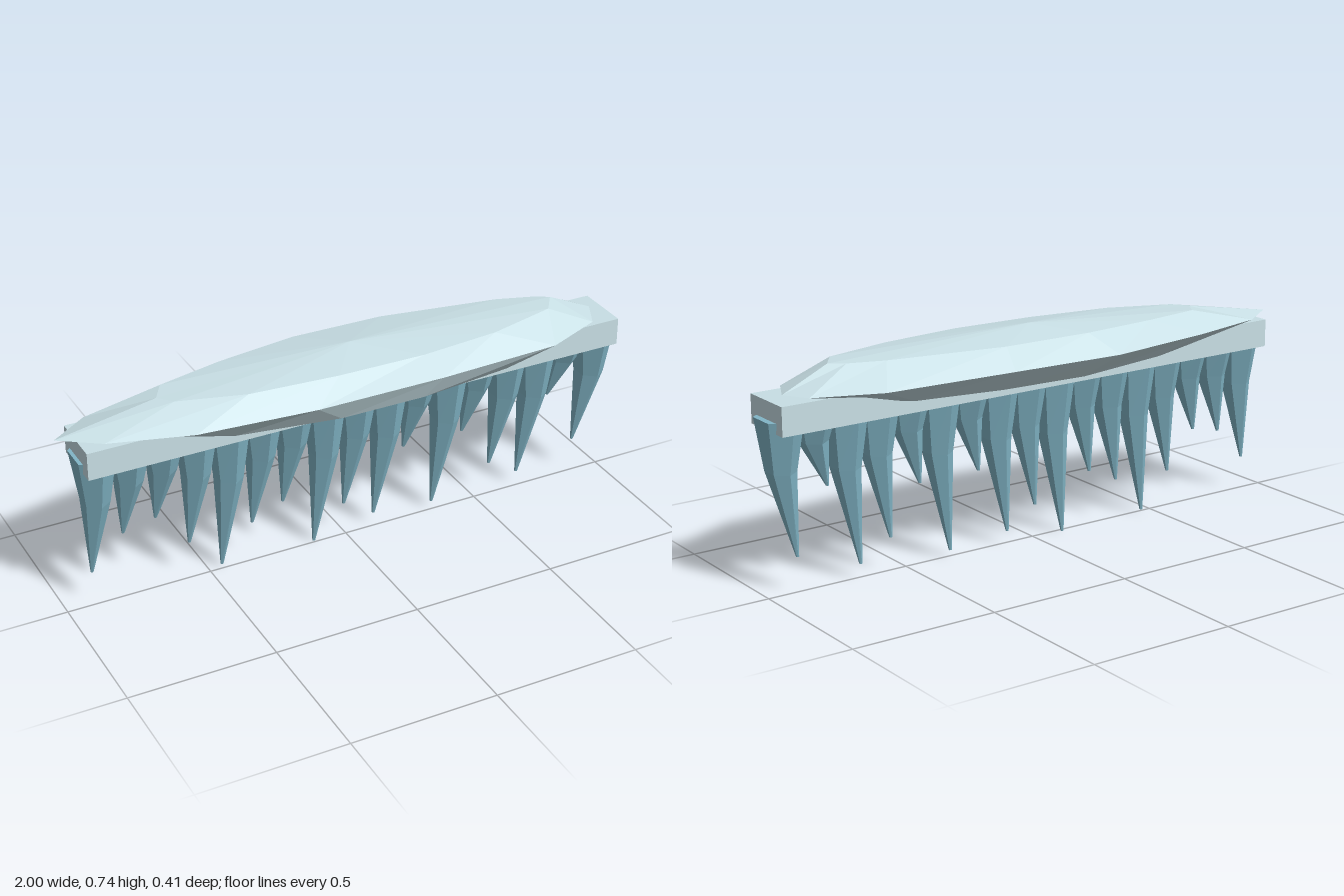
import * as THREE from 'three';

const snow = new THREE.MeshStandardMaterial({ color: 0xc8dfe5 });
snow.name = 'pale snow';
const ice = new THREE.MeshStandardMaterial({ color: 0x82b6c7 });
ice.name = 'blue ice';

// Faceted closed skin through rings of [x, y, z], listed bottom to top,
// each running counter-clockwise seen from above, with a point at either end.
function loft(rings, bottom, top) {
  const pos = [];
  const tri = (...corners) => corners.forEach((c) => pos.push(...c));
  const n = rings[0].length;
  for (let i = 0; i < n; i++) {
    const j = (i + 1) % n;
    tri(bottom, rings[0][j], rings[0][i]);
    for (let r = 0; r + 1 < rings.length; r++) {
      const a = rings[r], b = rings[r + 1];
      tri(a[i], a[j], b[j]);
      tri(a[i], b[j], b[i]);
    }
    tri(top, rings[rings.length - 1][i], rings[rings.length - 1][j]);
  }
  const geo = new THREE.BufferGeometry();
  geo.setAttribute('position', new THREE.Float32BufferAttribute(pos, 3));
  geo.computeVertexNormals();
  return geo;
}

// Six-sided ring with flat sides facing left and right
function hexRing(x, y, z, rx, rz) {
  return Array.from({ length: 6 }, (_, k) => {
    const t = ((k + 0.5) * Math.PI) / 3;
    return [x + rx * Math.cos(t), y, z - rz * Math.sin(t)];
  });
}

// Icicle hanging from y = 0.57, bending inward part way down
function icicleGeometry(topX, tipX, tipY) {
  const topY = 0.57;
  const midY = topY - (topY - tipY) * 0.38;
  const tip = hexRing(tipX, tipY, -0.011, 0.005, 0.005);
  const mid = hexRing(topX, midY, 0.009, 0.047, 0.06);
  const top = hexRing(topX, topY, 0.01, 0.0723, 0.095);
  return loft([tip, mid, top], [tipX, tipY, -0.011], [topX, topY, 0.01]);
}

function snowGeometry() {
  const lower = [
    [-0.75, 0.6, 0], [-0.66, 0.59, 0.06], [-0.45, 0.575, 0.13], [-0.1, 0.562, 0.165],
    [0.2, 0.565, 0.17], [0.52, 0.575, 0.145], [0.7, 0.6, 0.07],
    [0.76, 0.61, 0], [0.7, 0.6, -0.05], [0.52, 0.577, -0.1], [0.2, 0.566, -0.12],
    [-0.12, 0.562, -0.125], [-0.45, 0.575, -0.1], [-0.66, 0.59, -0.06],
  ];
  const rim = [
    [-1, 0], [-0.87, 0.09], [-0.6, 0.17], [-0.2, 0.205], [0.25, 0.205], [0.68, 0.185], [0.88, 0.1],
    [0.93, 0], [0.88, -0.08], [0.66, -0.165], [0.2, -0.19], [-0.2, -0.21], [-0.6, -0.15], [-0.87, -0.09],
  ].map(([x, z]) => [x, 0.64, z]);
  const upper = [
    [-0.66, 0.7, 0], [-0.62, 0.702, 0.05], [-0.4, 0.706, 0.12], [-0.1, 0.71, 0.15],
    [0.2, 0.712, 0.157], [0.48, 0.712, 0.13], [0.72, 0.714, 0.07],
    [0.77, 0.714, 0], [0.72, 0.713, -0.03], [0.6, 0.713, -0.07], [0.2, 0.712, -0.14],
    [-0.12, 0.712, -0.145], [-0.4, 0.708, -0.11], [-0.62, 0.703, -0.065],
  ];
  return loft([lower, rim, upper], [0, 0.555, 0.01], [0.01, 0.735, 0.005]);
}

export function createModel() {
  const model = new THREE.Group();
  model.name = 'icicleLedge';
  const add = (geometry, material, name, parent = model) => {
    const mesh = new THREE.Mesh(geometry, material);
    mesh.name = name;
    parent.add(mesh);
    return mesh;
  };

  // Ledge the icicles hang from
  add(new THREE.BoxGeometry(1.915, 0.095, 0.192), snow, 'ledge').position.set(0.022, 0.5825, 0.01);

  // Snow piled on the ledge
  add(snowGeometry(), snow, 'snowMound');

  // Row of icicles of uneven length
  const icicles = new THREE.Group();
  icicles.name = 'icicles';
  model.add(icicles);
  const tips = [0.12, 0.235, 0.26, 0.13, 0.01, 0.14, 0.19, 0, 0.115, 0.045, 0.275, 0.025, 0.275, 0.115, 0.05, 0.33, 0.12];
  tips.forEach((tipY, i) => {
    const f = i / (tips.length - 1);
    add(icicleGeometry(-0.885 + 1.8225 * f, -0.905 + 1.805 * f, tipY), ice, 'icicle' + (i + 1), icicles);
  });
  return model;
}
